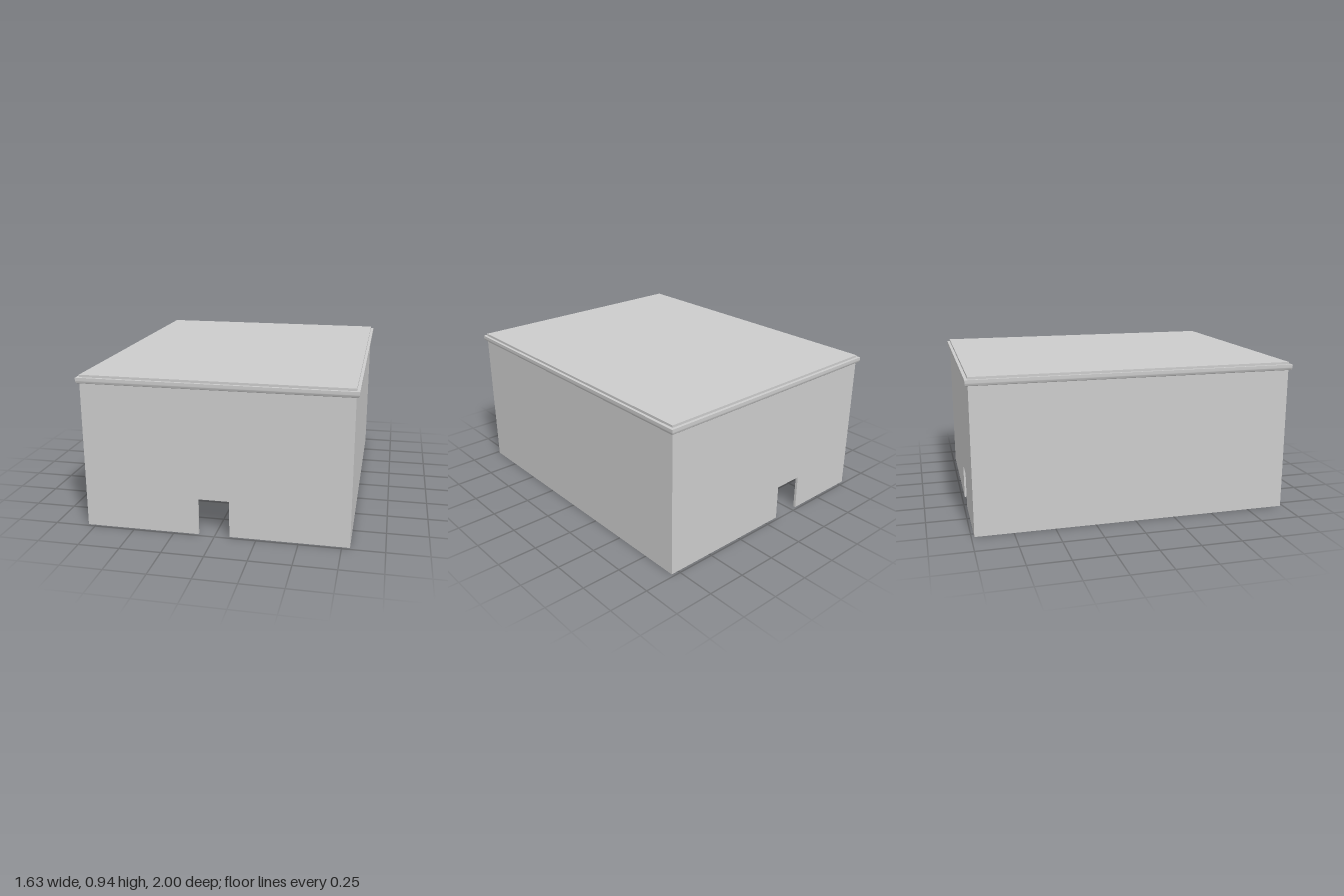
import * as THREE from 'three';
import { toCreasedNormals } from 'three/addons/utils/BufferGeometryUtils.js';

const HALF_W = 0.798, HALF_D = 0.982, HEIGHT = 0.945, WALL = 0.016, CEILING = 0.92;
const DOOR_H = 0.225;
const grey = new THREE.MeshStandardMaterial({ color: 0xcccccc });

function addMesh(parent, name, geometry, x = 0, y = 0, z = 0) {
  const mesh = new THREE.Mesh(geometry, grey);
  mesh.name = name;
  mesh.position.set(x, y, z);
  parent.add(mesh);
  return mesh;
}

// End wall with a doorway cut up from the ground between x0 and x1
function doorWall(x0, x1) {
  const shape = new THREE.Shape([
    [-HALF_W, 0], [x0, 0], [x0, DOOR_H], [x1, DOOR_H], [x1, 0],
    [HALF_W, 0], [HALF_W, HEIGHT], [-HALF_W, HEIGHT],
  ].map(([x, y]) => new THREE.Vector2(x, y)));
  return new THREE.ExtrudeGeometry(shape, { depth: WALL, bevelEnabled: false });
}

// Mitred moulding: sweeps an [outward, y] profile round the rectangular plan
function moulding(profile) {
  const corners = [[-1, 1], [1, 1], [1, -1], [-1, -1]];
  const point = ([out, y], [sx, sz]) => [sx * (HALF_W + out), y, sz * (HALF_D + out)];
  const positions = [];
  for (let side = 0; side < 4; side++) {
    const left = corners[side], right = corners[(side + 1) % 4];
    for (let i = 0; i < profile.length - 1; i++) {
      const a = point(profile[i], left), b = point(profile[i], right);
      const c = point(profile[i + 1], right), d = point(profile[i + 1], left);
      positions.push(...a, ...b, ...c, ...a, ...c, ...d);
    }
  }
  const geometry = new THREE.BufferGeometry();
  geometry.setAttribute('position', new THREE.Float32BufferAttribute(positions, 3));
  return toCreasedNormals(geometry, Math.PI / 5);
}

export function createModel() {
  const model = new THREE.Group();
  model.name = 'building';

  // End walls, each with its own offset doorway
  addMesh(model, 'frontWall', doorWall(-0.1, 0.088), 0, 0, HALF_D - WALL);
  addMesh(model, 'backWall', doorWall(-0.292, -0.1), 0, 0, -HALF_D);

  // Plain side walls between the end walls
  const innerDepth = 2 * (HALF_D - WALL);
  for (const [name, s] of [['leftWall', 1], ['rightWall', -1]]) {
    addMesh(model, name, new THREE.BoxGeometry(WALL, HEIGHT, innerDepth),
      s * (HALF_W - WALL / 2), HEIGHT / 2, 0);
  }

  // Flat roof slab, open floor below
  addMesh(model, 'roof', new THREE.BoxGeometry(2 * (HALF_W - WALL), HEIGHT - CEILING, innerDepth),
    0, (HEIGHT + CEILING) / 2, 0);

  // Cornice: rounded underside, upright face, flat top
  const profile = [[0, 0.895], [0.006, 0.895]];
  for (let i = 1; i <= 6; i++) {
    const a = (i / 6) * Math.PI / 2;
    profile.push([0.006 + 0.012 * Math.sin(a), 0.913 - 0.018 * Math.cos(a)]);
  }
  profile.push([0.018, 0.931], [0, 0.931]);
  addMesh(model, 'cornice', moulding(profile));

  return model;
}
